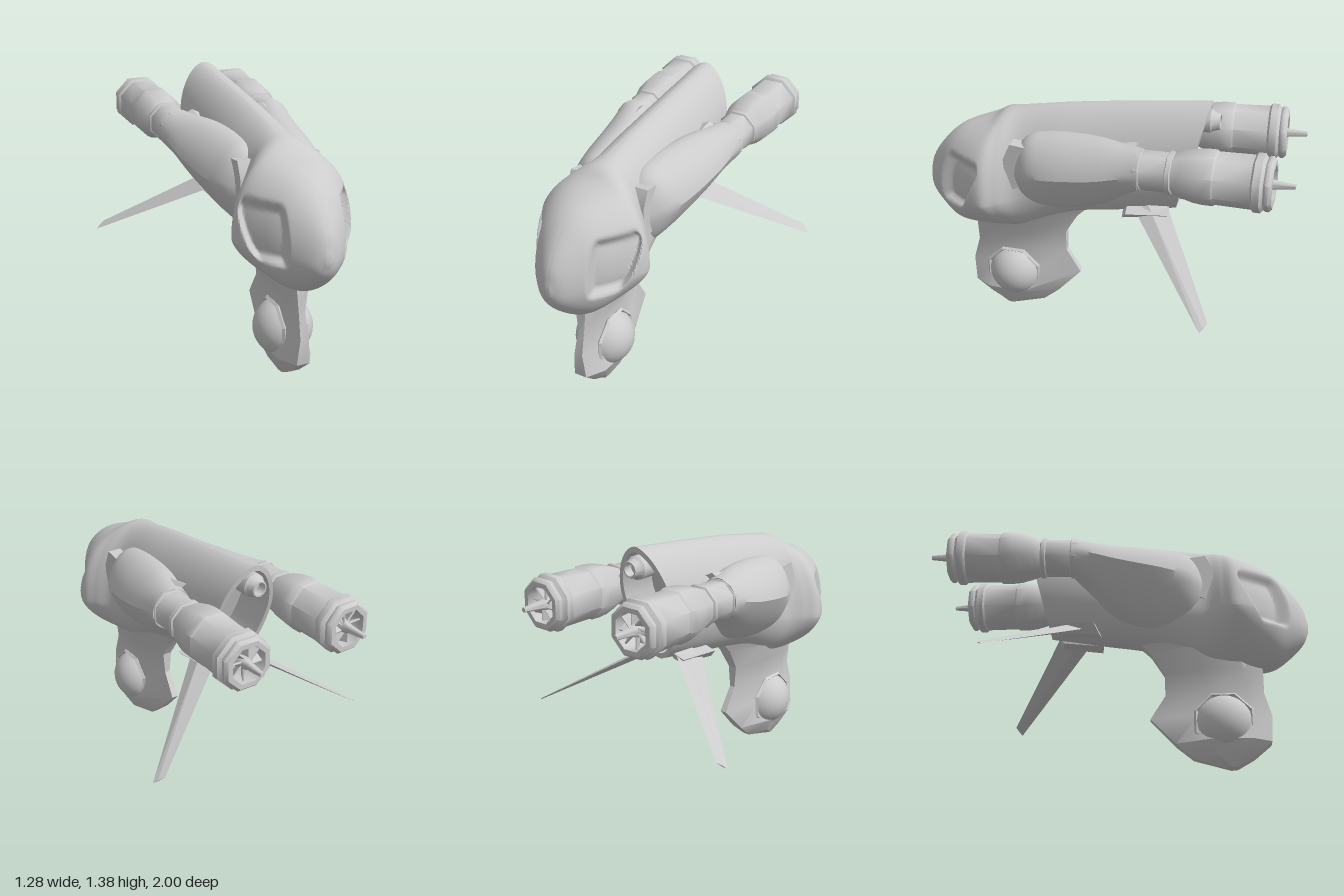
import * as THREE from 'three';
import { toCreasedNormals } from 'three/addons/utils/BufferGeometryUtils.js';

const material = new THREE.MeshStandardMaterial({ color: 0xcccccc, side: THREE.DoubleSide });
const V = (x, y, z) => new THREE.Vector3(x, y, z);

function add(parent, name, geometry, crease = 0.6) {
  const mesh = new THREE.Mesh(toCreasedNormals(geometry, crease), material);
  mesh.name = name;
  parent.add(mesh);
  return mesh;
}

// Skin a list of equal-length closed rings, with optional end caps
function loft(rings, capStart = true, capEnd = true) {
  const n = rings[0].length, pos = [], index = [];
  rings.forEach(r => r.forEach(p => pos.push(p.x, p.y, p.z)));
  for (let i = 0; i < rings.length - 1; i++)
    for (let j = 0; j < n; j++) {
      const a = i * n + j, b = i * n + (j + 1) % n, c = a + n, d = b + n;
      index.push(a, c, b, b, c, d);
    }
  const cap = (i, flip) => {
    const m = rings[i].reduce((s, p) => s.add(p), V(0, 0, 0)).divideScalar(n);
    const k = pos.length / 3;
    pos.push(m.x, m.y, m.z);
    for (let j = 0; j < n; j++) {
      const a = i * n + j, b = i * n + (j + 1) % n;
      index.push(k, flip ? b : a, flip ? a : b);
    }
  };
  if (capStart) cap(0, false);
  if (capEnd) cap(rings.length - 1, true);
  const g = new THREE.BufferGeometry();
  g.setAttribute('position', new THREE.Float32BufferAttribute(pos, 3));
  g.setIndex(index);
  return g;
}

// Resample rings along smooth curves through matching points
function smoothRings(rings, count) {
  const lines = rings[0].map((_, j) => new THREE.CatmullRomCurve3(rings.map(r => r[j])));
  return Array.from({ length: count + 1 }, (_, i) => lines.map(l => l.getPoint(i / count)));
}

// Superellipse ring: top, bottom, half width, height of widest point, squareness above and below
function hullRing([z, top, bottom, width, mid, above, below], shear = 0) {
  return Array.from({ length: 120 }, (_, i) => {
    const a = i * Math.PI / 60, s = Math.sin(a), c = Math.cos(a);
    const power = 2 / (c > 0 ? above : below);
    const x = -Math.sign(s) * width * Math.abs(s) ** power;
    const y = mid + (c > 0 ? top - mid : bottom - mid) * Math.abs(c) ** power;
    return V(x, y, z + (1.38 - y) * shear);
  });
}

function buildHull(root) {
  const tail = hullRing([-0.54, 1.38, 0.76, 0.17, 1.1, 1.75, 1.8], 0.26);
  const sections = [
    [1, 0.81, 0.75, 0.018, 0.78, 2, 2],
    [0.975, 0.9, 0.69, 0.065, 0.77, 2, 2],
    [0.9, 1.01, 0.61, 0.14, 0.79, 2, 2],
    [0.8, 1.1, 0.545, 0.22, 0.8, 2.1, 1.9],
    [0.61, 1.18, 0.525, 0.31, 0.78, 2.25, 1.4],
    [0.54, 1.225, 0.53, 0.275, 0.79, 2, 1.5],
    [0.45, 1.245, 0.55, 0.22, 0.8, 1.9, 1.8],
    [0.2, 1.29, 0.66, 0.2, 0.95, 1.7, 1.9],
    [-0.1, 1.33, 0.715, 0.185, 1.02, 1.7, 1.9],
  ].map(section => hullRing(section));
  const rings = smoothRings([...sections, tail], 240);
  // Sunken side windows in the nose
  const step = (a, b, x) => THREE.MathUtils.smoothstep(x, a, b);
  rings.flat().forEach(p => {
    const ax = Math.abs(p.x), rear = 0.62 + Math.max(0, 0.95 - p.y) * 0.5;
    const k = step(0.14, 0.165, ax) * step(0.71, 0.75, p.y) * (1 - step(0.95, 1.02, p.y)) * step(rear, rear + 0.04, p.z);
    p.x -= Math.sign(p.x) * 0.02 * k;
    p.z -= 0.055 * k;
  });
  add(root, 'hull', loft(rings, true, false), 1.2);

  // Hollow tail: rim, inner wall and bulkhead
  const shrink = (s, dz) => tail.map(p => V(p.x * s, 1.07 + (p.y - 1.07) * (s + 0.05), p.z + dz));
  add(root, 'tailRecess', loft([tail, shrink(0.86, 0), shrink(0.8, 0.2)], false, true));
  for (const [y, z, r] of [[1.275, -0.46, 0.05], [0.92, -0.26, 0.045]]) {
    const profile = [[0, -0.14], [r * 1.2, -0.14], [r * 1.2, 0.08], [r, 0.09], [r * 0.8, 0.125], [r * 0.65, 0.125], [r * 0.6, 0.08], [0, 0.08]];
    const g = new THREE.LatheGeometry(profile.map(p => new THREE.Vector2(...p)), 12).rotateX(-Math.PI / 2);
    add(root, 'tailExhaust', g).position.set(0, y, z);
  }
}

function buildEngine() {
  const engine = new THREE.Group();
  engine.name = 'engine';
  engine.position.set(0.274, 1.1, -0.24);
  engine.rotation.set(0.027, -0.03, 0);
  const lathe = pts => new THREE.LatheGeometry(pts.map(p => new THREE.Vector2(...p)), 8, Math.PI / 8).rotateX(-Math.PI / 2);
  const casing = [[0.09, -0.05], [0.107, -0.01], [0.107, 0.008], [0.1, 0.012], [0.1, 0.14], [0.109, 0.145], [0.109, 0.165], [0.1, 0.17],
    [0.115, 0.21], [0.132, 0.27], [0.138, 0.32], [0.138, 0.375], [0.13, 0.385], [0.133, 0.56], [0.145, 0.57], [0.145, 0.605], [0.127, 0.62],
    [0.135, 0.63], [0.135, 0.645], [0.12, 0.66], [0.095, 0.66], [0.09, 0.56], [0, 0.56]];
  add(engine, 'engineCasing', lathe(casing), 0.8);
  add(engine, 'engineSpike', lathe([[0.045, 0.55], [0.035, 0.62], [0.022, 0.66], [0.012, 0.76], [0, 0.76]]), 0.8);
  for (let i = 0; i < 8; i++) {
    const blade = new THREE.BoxGeometry(0.07, 0.008, 0.06).rotateX(0.5).translate(0.06, 0, -0.61);
    add(engine, 'fanBlade', blade.rotateZ(i * Math.PI / 4));
  }
  return engine;
}

function buildSide() {
  const side = new THREE.Group();
  // Nacelle blending from the hull into the engine: z, centre x and y, radii, lean toward keel and spine
  const pods = [[0.48, 0.12, 0.93, 0.06, 0.1, 0], [0.38, 0.16, 0.97, 0.115, 0.18, 0.05], [0.27, 0.18, 0.99, 0.14, 0.19, 0.1], [0, 0.23, 1.04, 0.13, 0.16, 0.11],
    [-0.15, 0.257, 1.08, 0.113, 0.12, 0.05], [-0.24, 0.272, 1.1, 0.107, 0.105, 0]];
  const rings = pods.map(([z, cx, cy, rx, ry, lean]) => Array.from({ length: 40 }, (_, j) => {
    const a = j * Math.PI / 20, c = Math.cos(a), s = Math.sin(a);
    const low = Math.max(0, -s) * lean;
    return V(cx + rx * c - low - Math.max(0, s) * lean * 0.4, cy + ry * s - low * 0.8, z);
  }));
  add(side, 'nacelle', loft(smoothRings(rings, 30)));
  side.add(buildEngine());

  // Intake cheek behind the nose
  const cheek = new THREE.Shape([[-0.35, 0.9], [-0.35, 1.07], [-0.38, 1.11], [-0.46, 1.12], [-0.5, 1.03], [-0.49, 0.85]].map(p => new THREE.Vector2(...p)));
  add(side, 'intakeCheek', new THREE.ExtrudeGeometry(cheek, { depth: 0.085, bevelEnabled: false }).rotateY(Math.PI / 2)).position.x = 0.135;

  // Swept lower wing
  const blade = (a, b, t) => {
    const m = a.clone().lerp(b, 0.45), n = V(0.53, 0.85, 0).multiplyScalar(t);
    return [a, m.clone().add(n), b, m.clone().sub(n)];
  };
  const wing = loft([blade(V(0.1, 0.77, -0.17), V(0.07, 0.8, -0.34), 0.022), blade(V(0.64, 0.44, -0.63), V(0.59, 0.472, -0.66), 0.003)]);
  add(side, 'wing', wing, 0.2);
  const mount = [[0.17, 0.77, -0.14], [0.12, 0.72, -0.11], [0.05, 0.73, -0.1], [0.05, 0.8, -0.13]].map(p => V(...p));
  add(side, 'wingMount', loft([mount, mount.map(p => V(p.x * 0.85, p.y * 0.7 + 0.24, p.z - 0.22))]), 0.2);

  // Small fin between nacelle and spine
  add(side, 'nacelleFin', new THREE.ConeGeometry(0.04, 0.13, 4).rotateX(Math.PI / 2).scale(1, 0.5, 1)).position.set(0.2, 1.19, -0.14);
  return side;
}

function buildChin(root) {
  // Pylon and sensor cradle: y, front z, back z, half width
  const levels = [[0.72, 0.62, 0.08, 0.13], [0.64, 0.72, 0.16, 0.12], [0.52, 0.745, 0.23, 0.085], [0.4, 0.745, 0.23, 0.05], [0.27, 0.78, 0.15, 0.065],
    [0.13, 0.77, 0.28, 0.1], [0.05, 0.68, 0.37, 0.065], [0, 0.6, 0.53, 0.035]];
  const rings = levels.map(([y, f, b, w]) => {
    const d = f - b;
    const right = [[w * 0.35, f], [w * 0.9, f - d * 0.2], [w, f - d * 0.6], [w * 0.3, b]];
    return [...right, ...right.map(([x, z]) => [-x, z]).reverse()].map(([x, z]) => V(x, y, z));
  });
  add(root, 'chinPylon', loft(rings), 0.5);
  add(root, 'sensorBall', new THREE.SphereGeometry(0.155, 32, 20)).position.set(0, 0.235, 0.53);
  for (const s of [-1, 1]) {
    const rim = new THREE.TorusGeometry(0.155, 0.012, 4, 8).rotateZ(Math.PI / 8).rotateY(Math.PI / 2);
    add(root, 'sensorRim', rim, 0.3).position.set(s * 0.06, 0.235, 0.53);
  }
}

export function createModel() {
  const root = new THREE.Group();
  root.name = 'flyingCraft';
  buildHull(root);
  buildChin(root);
  for (const s of [1, -1]) {
    const side = buildSide();
    side.name = s > 0 ? 'leftSide' : 'rightSide';
    side.scale.x = s;
    root.add(side);
  }
  return root;
}
